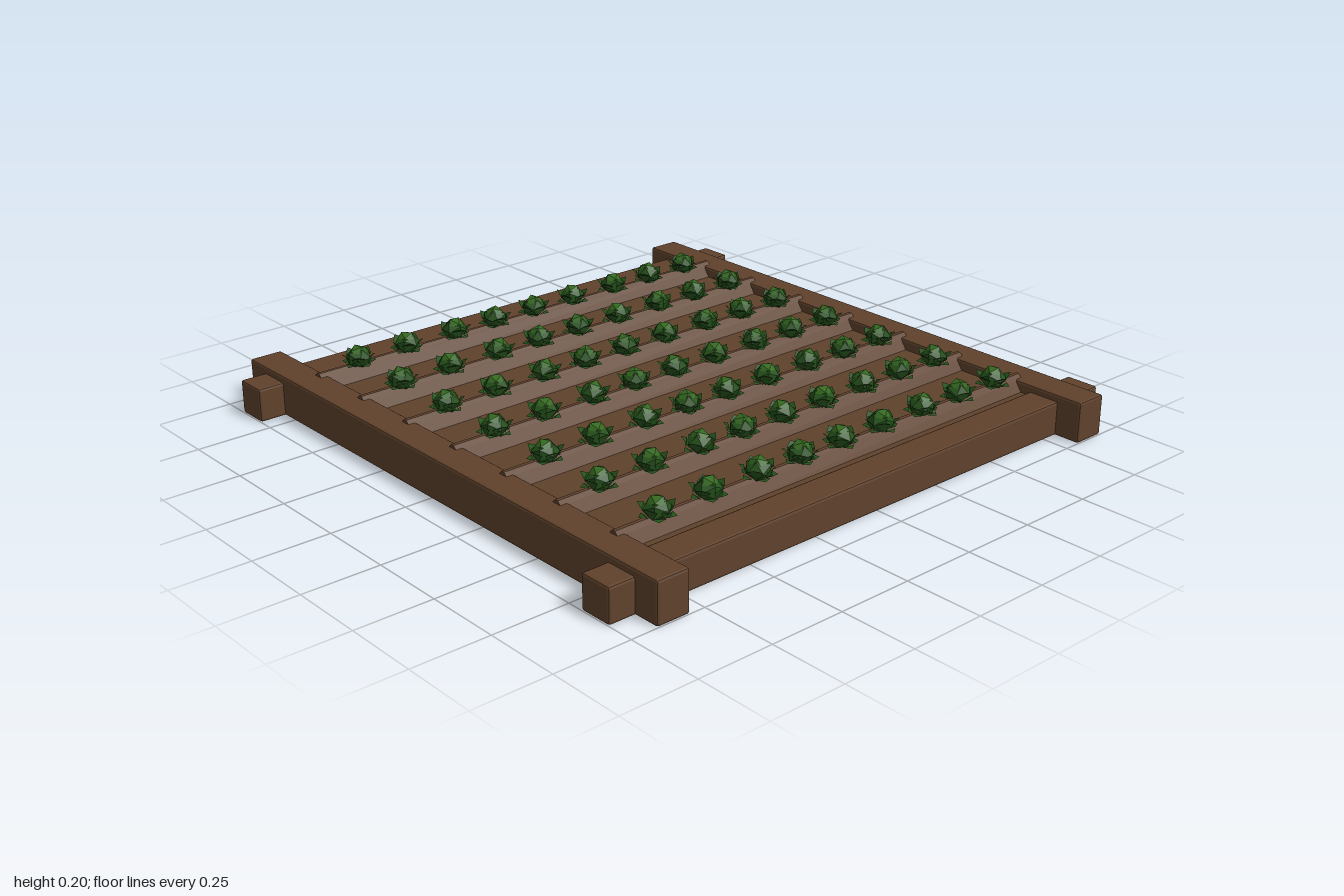
import * as THREE from 'three';
import { RoundedBoxGeometry } from 'three/addons/geometries/RoundedBoxGeometry.js';

function material(name, color, extra = {}) {
  const m = new THREE.MeshStandardMaterial({ color, flatShading: true, ...extra });
  m.name = name;
  return m;
}

// A whorl of broad pointed leaves; each leaf is a root, two sides and a tip
function leafWhorl(count, turn, root, side, tip, spread) {
  const pos = [];
  for (let i = 0; i < count; i++) {
    const a = turn + (i / count) * Math.PI * 2;
    const at = ([r, y], da = 0) => [Math.cos(a + da) * r, y, Math.sin(a + da) * r];
    const A = at(root), L = at(side, -spread), R = at(side, spread), T = at(tip);
    for (const tri of [[A, L, R], [L, T, R]]) pos.push(...tri.flat());
  }
  const g = new THREE.BufferGeometry();
  g.setAttribute('position', new THREE.Float32BufferAttribute(pos, 3));
  g.computeVertexNormals();
  return g;
}

export function createModel() {
  const wood = material('brown wood', 0x60422c);
  const soil = material('brown soil', 0x5f412b);
  const leafGreen = material('dark leaf green', 0x24501a, { side: THREE.DoubleSide });
  const heartGreen = material('heart green', 0x34691f);

  const model = new THREE.Group();
  model.name = 'vegetableBed';
  const add = (parent, name, geometry, mat, x = 0, y = 0, z = 0) => {
    const mesh = new THREE.Mesh(geometry, mat);
    mesh.name = name;
    mesh.position.set(x, y, z);
    parent.add(mesh);
    return mesh;
  };

  // Crossed timber frame: taller end beams over lower side beams
  const endBeam = new RoundedBoxGeometry(2, 0.135, 0.112, 1, 0.008);
  const sideBeam = new RoundedBoxGeometry(0.112, 0.112, 2, 1, 0.008);
  for (const s of [-1, 1]) {
    add(model, s > 0 ? 'frontBeam' : 'backBeam', endBeam, wood, 0, 0.0675, s * 0.857);
    add(model, s > 0 ? 'leftBeam' : 'rightBeam', sideBeam, wood, s * 0.857, 0.056, 0);
  }

  // Soil filling the frame
  add(model, 'soilBed', new THREE.BoxGeometry(1.62, 0.08, 1.62), soil, 0, 0.06, 0);

  // Ridge with a narrow crown, running front to back
  const section = new THREE.Shape([
    [-0.048, 0.09], [0.048, 0.09], [0.018, 0.133], [0.006, 0.146], [-0.006, 0.146], [-0.018, 0.133],
  ].map(([x, y]) => new THREE.Vector2(x, y)));
  const ridge = new THREE.ExtrudeGeometry(section, { depth: 1.66, bevelEnabled: false });
  ridge.translate(0, 0, -0.83);

  // Leafy plant: faceted head, wrapped by two whorls of leaves, with a paler heart on top
  const lower = leafWhorl(5, 0, [0.02, 0], [0.044, 0.014], [0.056, 0.012], 0.5);
  const upper = leafWhorl(5, 0.6, [0.03, 0.006], [0.045, 0.034], [0.056, 0.046], 0.5);
  const head = new THREE.IcosahedronGeometry(0.043, 0);
  head.scale(1, 0.8, 1);
  const heart = new THREE.IcosahedronGeometry(0.033, 0);
  const makePlant = () => {
    const plant = new THREE.Group();
    plant.name = 'plant';
    add(plant, 'lowerLeaves', lower, leafGreen);
    add(plant, 'upperLeaves', upper, leafGreen);
    add(plant, 'head', head, leafGreen, 0, 0.029, 0);
    add(plant, 'heart', heart, heartGreen, 0, 0.038, 0);
    return plant;
  };

  // Seven ridges, nine plants on each
  const rows = [-0.705, -0.54, -0.375, -0.195, -0.025, 0.14, 0.305, 0.495, 0.68];
  for (let i = -3; i <= 3; i++) {
    const x = i * 0.242;
    add(model, 'ridge', ridge, soil, x + 0.003);
    rows.forEach((z, j) => {
      const plant = makePlant();
      plant.position.set(x + 0.006, 0.135, z);
      plant.rotation.y = j * 2.4 + i * 0.1;
      model.add(plant);
    });
  }
  return model;
}
